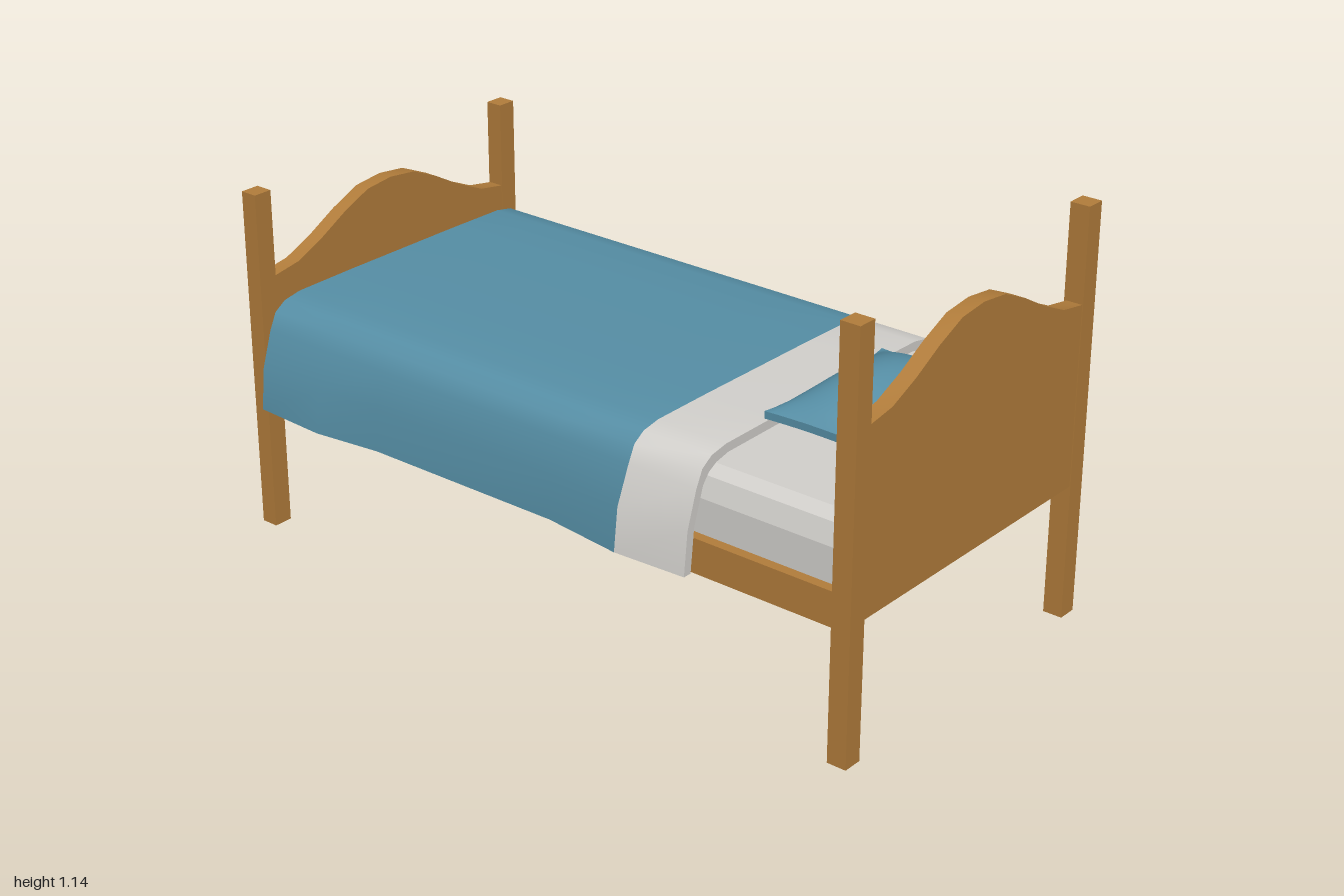
import * as THREE from 'three';
import { toCreasedNormals } from 'three/addons/utils/BufferGeometryUtils.js';
import { ConvexGeometry } from 'three/addons/geometries/ConvexGeometry.js';

const mat = (name, color) => new THREE.MeshStandardMaterial({ name, color });

export function createModel() {
  const wood = mat('wood', 0xb27d3b);
  const linen = mat('linen', 0xd3d1cd);
  const teal = mat('tealFabric', 0x568fa6);
  const bed = new THREE.Group();
  bed.name = 'bed';

  const add = (name, geo, material) => {
    const mesh = new THREE.Mesh(geo, material);
    mesh.name = name;
    bed.add(mesh);
    return mesh;
  };
  // Box given by its lower and upper corners
  const box = (name, [x0, y0, z0], [x1, y1, z1], material) =>
    add(name, new THREE.BoxGeometry(x1 - x0, y1 - y0, z1 - z0), material)
      .position.set((x0 + x1) / 2, (y0 + y1) / 2, (z0 + z1) / 2);

  // Corner posts
  for (const z of [-0.5, 0.445]) {
    box('headPost', [0.945, 0.005, z], [1, 1.145, z + 0.055], wood);
    box('footPost', [-1, 0, z], [-0.95, 0.975, z + 0.055], wood);
  }

  // Bed base
  box('base', [-0.951, 0.37, -0.498], [0.951, 0.465, 0.498], wood);

  // Arched end panels
  const arch = [[0.45, 0.885], [0.36, 0.9], [0.27, 0.94], [0.18, 0.99], [0.09, 1.03]];
  const endPanel = (name, x, drop) => {
    const top = [...arch, [0, 1.04], ...arch.map(([z, y]) => [-z, y]).reverse()];
    const outline = [[-0.45, 0.385 + drop], [0.45, 0.385 + drop], ...top];
    const shape = new THREE.Shape(outline.map(([z, y]) => new THREE.Vector2(z, y - drop)));
    const geo = new THREE.ExtrudeGeometry(shape, { depth: 0.045, bevelEnabled: false });
    geo.rotateY(Math.PI / 2);
    add(name, toCreasedNormals(geo, 0.6), wood).position.x = x;
  };
  endPanel('headboard', 0.952, 0);
  endPanel('footboard', -0.997, 0.155);

  // Mattress with softened top edges: [height, inset]
  const corners = [];
  for (const [y, inset] of [[0.465, 0], [0.56, 0], [0.615, 0.018], [0.64, 0.045]])
    for (const sx of [-1, 1])
      for (const sz of [-1, 1])
        corners.push(new THREE.Vector3(sx * (0.93 - inset), y, sz * (0.47 - inset)));
  add('mattress', new ConvexGeometry(corners), linen);

  // Draped cover: thick cross-sections along x, hem flared by f
  const half = (f, t) => [
    [0.53 + 0.028 * f - t, 0.382],
    [0.52 + 0.024 * f - t, 0.5],
    [0.502 - t, 0.6],
    [0.48 - t, 0.645 - t * 0.7],
    [0.445 - t * 0.7, 0.668 - t],
    [0.39 - t * 0.3, 0.678 - t],
    [0.2, 0.68 - t],
  ];
  const mirrored = (pts) => [...pts, ...pts.map(([z, y]) => [-z, y]).reverse()];
  const drape = (name, stations, material) => {
    const pos = [], idx = [];
    let m = 0;
    for (const [x, f] of stations) {
      const loop = [...mirrored(half(f, 0)), ...mirrored(half(f, 0.025)).reverse()];
      m = loop.length;
      for (const [z, y] of loop) pos.push(x, y, z);
    }
    const last = (stations.length - 1) * m;
    for (let s = 0; s < last; s += m)
      for (let i = 0; i < m; i++) {
        const j = (i + 1) % m;
        idx.push(s + i, s + m + i, s + m + j, s + i, s + m + j, s + j);
      }
    // End edges
    for (let i = 0; i < m / 2 - 1; i++) {
      const j = i + 1, a = m - 1 - i, b = m - 1 - j;
      idx.push(last + i, last + a, last + b, last + i, last + b, last + j);
      idx.push(i, b, a, i, j, b);
    }
    const geo = new THREE.BufferGeometry();
    geo.setAttribute('position', new THREE.Float32BufferAttribute(pos, 3));
    geo.setIndex(idx);
    add(name, toCreasedNormals(geo, 0.75), material);
  };
  drape('blanket', [[-0.92, 0.6], [-0.7, 1], [-0.5, 0.1], [0.1, 0], [0.335, 1]], teal);
  drape('foldedSheet', [[0.335, 1], [0.545, 0.6]], linen);

  // Pillow: a box grid pinched along its sides and puffed in the middle
  const pillow = new THREE.BoxGeometry(2, 2, 2, 16, 1, 16);
  const p = pillow.attributes.position;
  for (let i = 0; i < p.count; i++) {
    const u = p.getX(i), side = p.getY(i), v = p.getZ(i);
    const puff = Math.pow((1 - u * u) * (1 - v * v), 0.75);
    p.setXYZ(i,
      0.15 * u * (1 - 0.17 * (1 - v * v)),
      side * (0.01 + (side > 0 ? 0.078 : 0.052) * puff),
      0.243 * v * (1 - 0.03 * (1 - u * u)));
  }
  add('pillow', toCreasedNormals(pillow, 0.7), teal).position.set(0.695, 0.7, 0);

  return bed;
}
